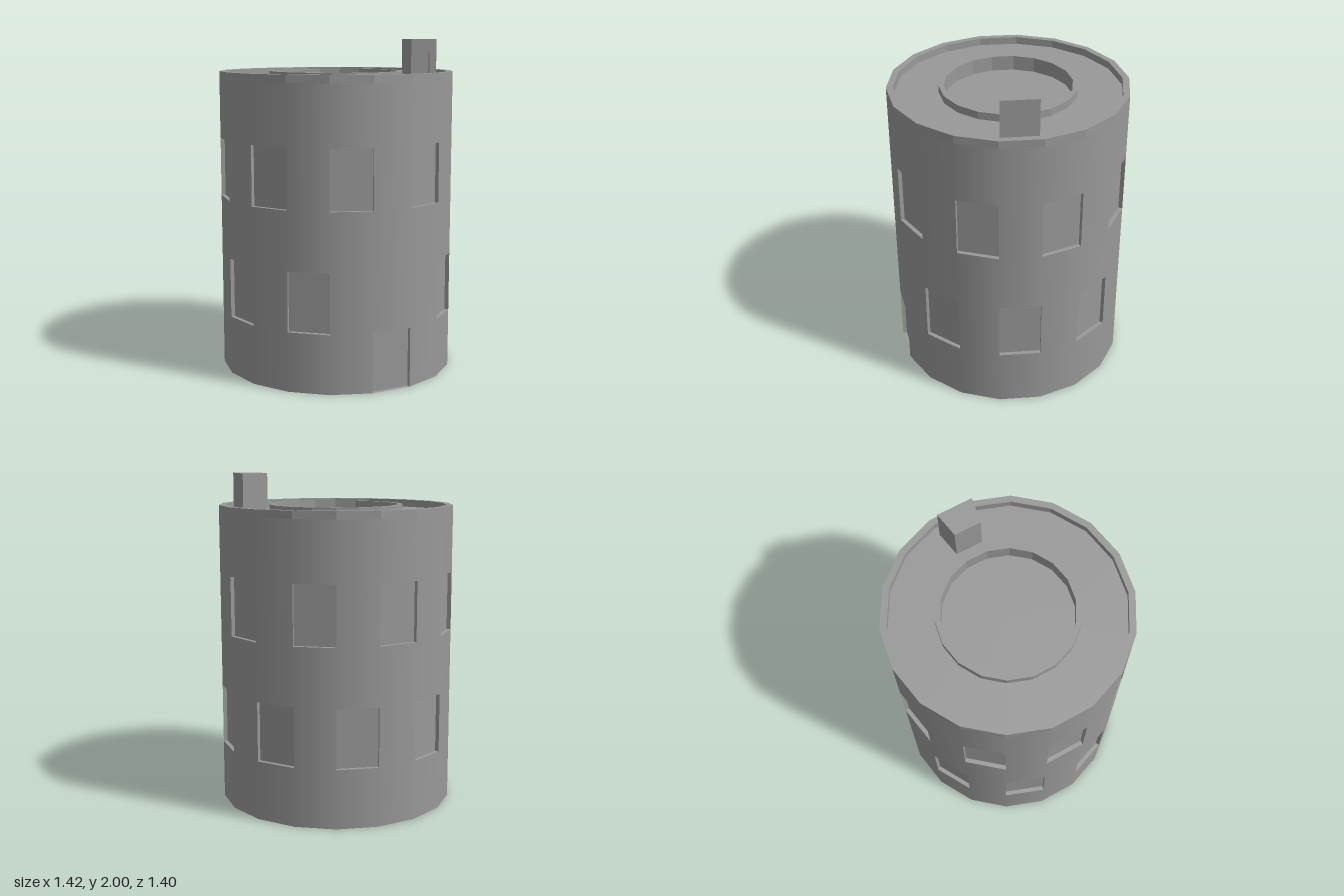
import * as THREE from 'three';

const SIDES = 18, STEP = 360 / SIDES, R = 0.709;
const ROOF = 1.765, TOP = 1.81;
const smooth = new THREE.MeshStandardMaterial({ color: 0x999999, side: THREE.DoubleSide });
const flat = new THREE.MeshStandardMaterial({ color: 0x999999, side: THREE.DoubleSide, flatShading: true });

// Point at radius r and angle in degrees, turning from +x towards +z
function polar(r, deg) {
  const a = THREE.MathUtils.degToRad(deg);
  return new THREE.Vector3(r * Math.cos(a), 0, r * Math.sin(a));
}
const at = (p, y) => new THREE.Vector3(p.x, y, p.z);

// Four corners counter-clockwise from outside -> two triangles
function quad(out, a, b, c, d) {
  for (const p of [a, b, c, a, c, d]) out.push(p);
}
// Upright rectangle from left to right as seen from outside
function upright(out, left, right, y0, y1) {
  quad(out, at(left, y0), at(right, y0), at(right, y1), at(left, y1));
}
// Recessed panel with its four reveals
function recess(out, left, right, y0, y1, depth) {
  const along = right.clone().sub(left).normalize();
  const inward = new THREE.Vector3(along.z, 0, -along.x).multiplyScalar(depth);
  const l = left.clone().add(inward), r = right.clone().add(inward);
  upright(out, l, r, y0, y1);
  upright(out, left, l, y0, y1);
  upright(out, r, right, y0, y1);
  quad(out, at(left, y0), at(right, y0), at(r, y0), at(l, y0));
  quad(out, at(l, y1), at(r, y1), at(right, y1), at(left, y1));
}
function mesh(name, points, material, radialNormals = false) {
  const geo = new THREE.BufferGeometry().setFromPoints(points);
  if (radialNormals) {
    const normals = points.flatMap((p) => at(p, 0).normalize().toArray());
    geo.setAttribute('normal', new THREE.Float32BufferAttribute(normals, 3));
  } else geo.computeVertexNormals();
  const m = new THREE.Mesh(geo, material);
  m.name = name;
  return m;
}

export function createModel() {
  const group = new THREE.Group();
  group.name = 'roundTower';

  // Wall facets with staggered openings: even facets low, odd facets high
  const wall = [];
  for (let i = 0; i < SIDES; i++) {
    const right = polar(R, i * STEP), left = polar(R, (i + 1) * STEP);
    let y0 = 0.353, y1 = 0.708, name = 'lowerWindow';
    if (i % 2 === 1) { y0 = 1.057; y1 = 1.41; name = 'upperWindow'; }
    if (i === 4) { y0 = 0; y1 = 0.353; name = 'door'; }
    if (y0 > 0) upright(wall, left, right, 0, y0);
    upright(wall, left, right, y1, ROOF);
    const opening = [];
    recess(opening, left, right, y0, y1, 0.025);
    group.add(mesh(name, opening, flat));
  }
  group.add(mesh('wall', wall, smooth, true));

  // Parapet, roof deck, inner kerb and sunken centre
  const profile = [
    [R, ROOF], [R, TOP], [0.67, TOP], [0.67, ROOF], [0.407, ROOF],
    [0.407, TOP], [0.376, TOP], [0.376, 1.72], [0, 1.72],
  ].map(([r, y]) => new THREE.Vector2(r, y));
  const roof = new THREE.Mesh(new THREE.LatheGeometry(profile, SIDES, Math.PI / 2), flat);
  roof.name = 'roof';
  group.add(roof);

  // Stair hut on the roof: a sector of the ring with a small door
  const H = 2, doorTop = 1.917;
  const a = polar(0.463, 20), b = polar(0.62, 20), c = polar(0.62, 0), d = polar(0.463, 0);
  const hut = [];
  upright(hut, b, c, ROOF, H);
  upright(hut, c, d, ROOF, H);
  upright(hut, d, a, ROOF, H);
  quad(hut, at(a, H), at(b, H), at(c, H), at(d, H));
  const doorLeft = polar(0.511, 20), doorRight = polar(0.577, 20);
  upright(hut, a, doorLeft, ROOF, H);
  upright(hut, doorRight, b, ROOF, H);
  upright(hut, doorLeft, doorRight, doorTop, H);
  group.add(mesh('stairHut', hut, flat));
  const hutDoor = [];
  recess(hutDoor, doorLeft, doorRight, ROOF, doorTop, 0.03);
  group.add(mesh('stairHutDoor', hutDoor, flat));

  return group;
}
